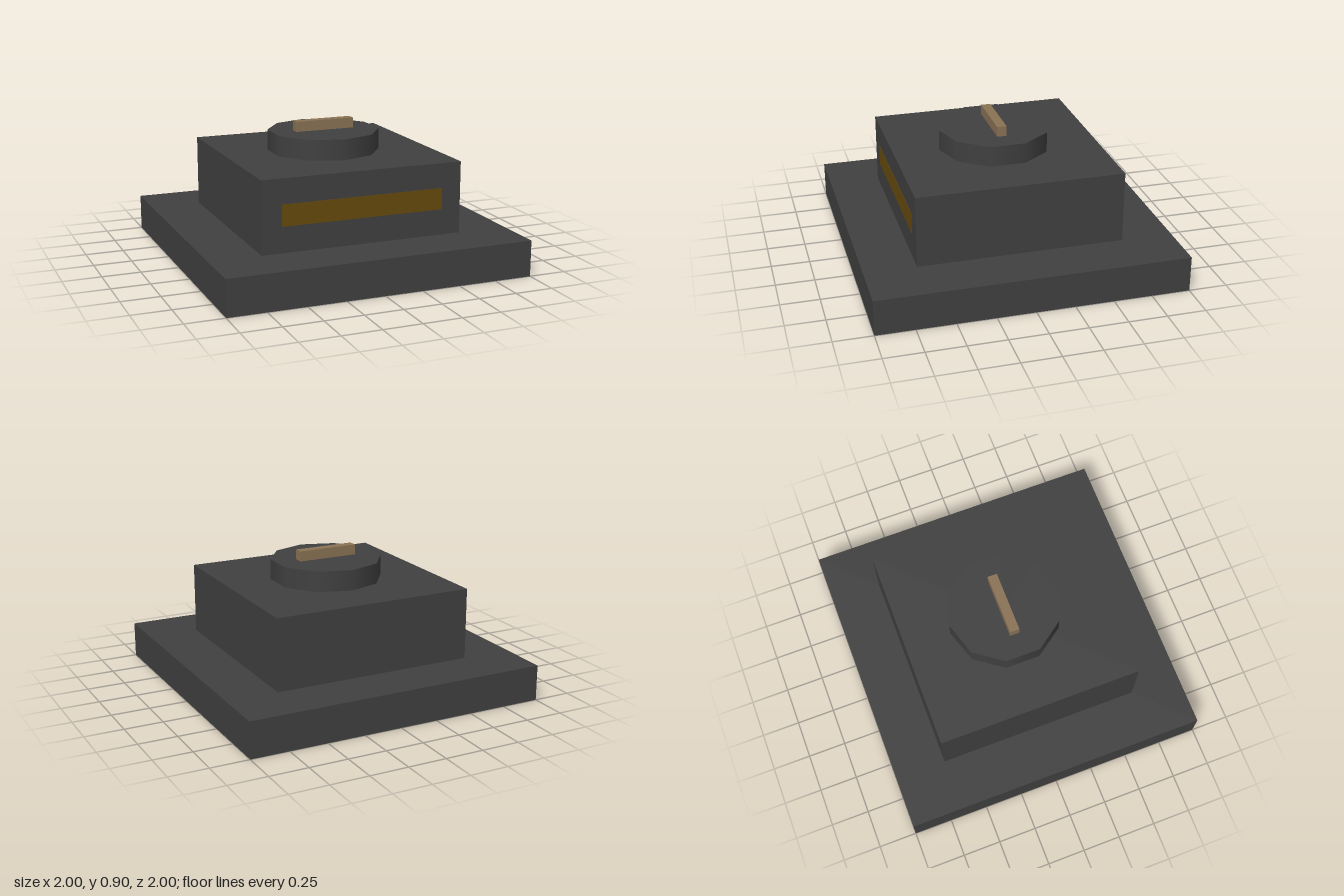
import * as THREE from 'three';

export function createModel() {
  const model = new THREE.Group();
  model.name = 'steppedPedestal';

  const material = (name, color) => {
    const m = new THREE.MeshStandardMaterial({ color });
    m.name = name;
    return m;
  };
  const charcoal = material('charcoal', 0x404040);
  const tan = material('tan', 0x8b7355);
  const darkGold = material('darkGold', 0x664a0e);

  const add = (name, geometry, mat, y, z = 0) => {
    const mesh = new THREE.Mesh(geometry, mat);
    mesh.name = name;
    mesh.position.set(0, y, z);
    model.add(mesh);
  };

  // Stepped square body
  add('base', new THREE.BoxGeometry(2, 0.234, 2), charcoal, 0.117);
  add('body', new THREE.BoxGeometry(1.333, 0.466, 1.333), charcoal, 0.467);

  // Smooth ten-sided cap with its grip bar
  add('cap', new THREE.CylinderGeometry(0.366, 0.366, 0.134, 10), charcoal, 0.767);
  add('grip', new THREE.BoxGeometry(0.4, 0.067, 0.062), tan, 0.867);

  // Thin plate on the front face
  add('frontPlate', new THREE.BoxGeometry(1.07, 0.138, 0.004), darkGold, 0.47, 0.667);

  return model;
}
